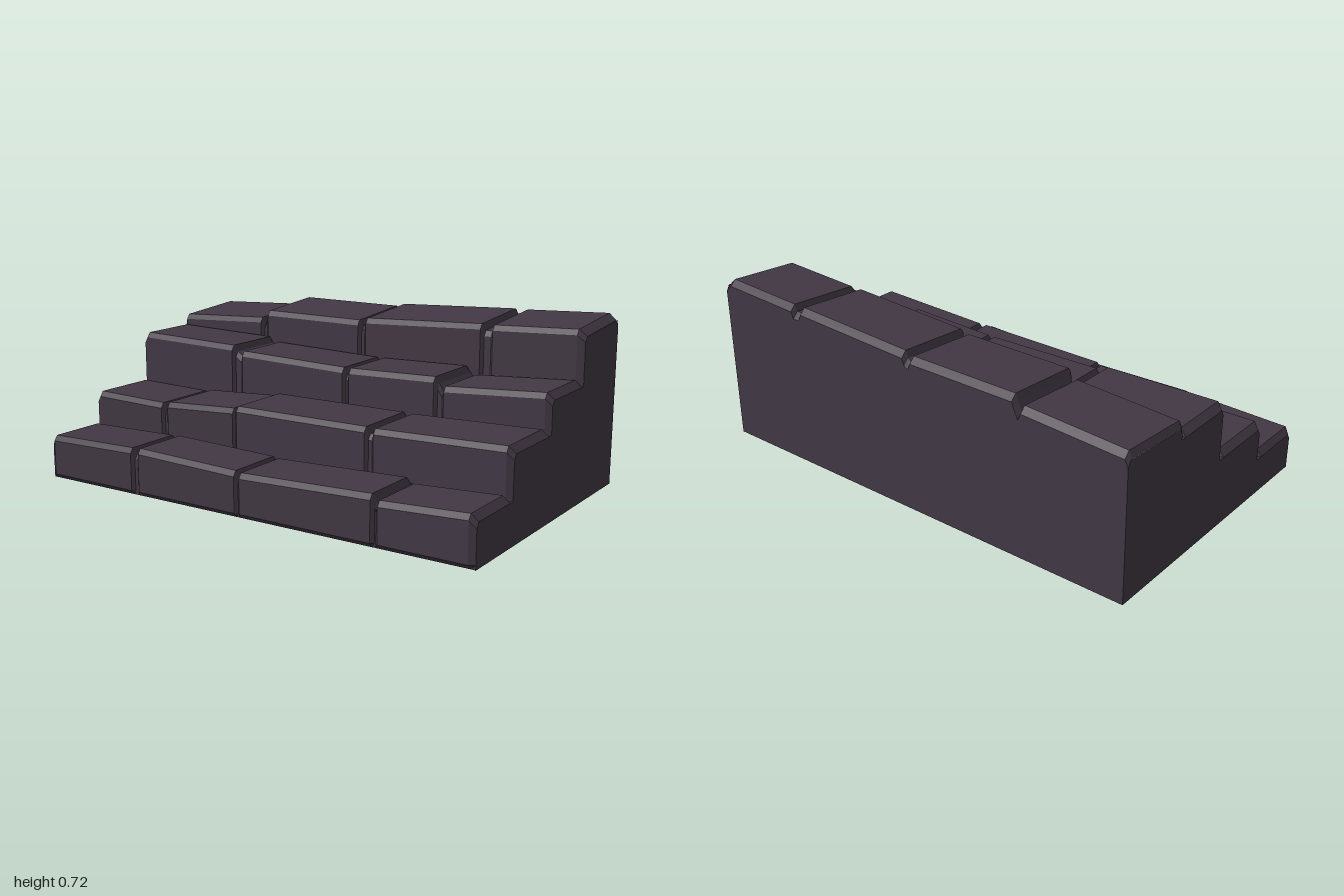
import * as THREE from 'three';

// Each step: front and back z, hidden foot height, tread rise to the back,
// and blocks as [x start, x end, height at start, height at end].
const STEPS = [
  { front: 0.617, back: 0.35, foot: 0, rise: 0, blocks: [
    [-0.98, -0.55, 0.185, 0.195], [-0.51, -0.025, 0.198, 0.185],
    [0, 0.585, 0.18, 0.2], [0.615, 0.975, 0.18, 0.198]] },
  { front: 0.34, back: 0.035, foot: 0.14, rise: 0, blocks: [
    [-0.975, -0.625, 0.325, 0.318], [-0.59, -0.245, 0.325, 0.345],
    [-0.225, 0.385, 0.355, 0.357], [0.425, 0.975, 0.355, 0.37]] },
  { front: 0.025, back: -0.26, foot: 0.28, rise: 0, blocks: [
    [-0.975, -0.49, 0.54, 0.53], [-0.435, 0.08, 0.51, 0.497],
    [0.112, 0.505, 0.497, 0.508], [0.55, 0.975, 0.475, 0.503]] },
  { front: -0.265, back: -0.603, foot: 0.43, rise: 0.022, blocks: [
    [-0.985, -0.55, 0.607, 0.63], [-0.51, -0.03, 0.665, 0.665],
    [0.01, 0.555, 0.677, 0.703], [0.61, 0.97, 0.703, 0.72]] },
];
const GROOVE = 0.028;

const material = new THREE.MeshStandardMaterial({
  color: 0x423844, flatShading: true, side: THREE.DoubleSide });

// Cross-section of a step from its foot, over the tread, to its back
function section(step, x, h, sunk, last) {
  const top = h - (sunk ? GROOVE : 0);
  const z = step.front - (sunk ? 0.012 : 0);
  const pts = [
    [step.foot, step.front - 0.015],
    [step.foot + 0.018, z],
    [top - step.rise - 0.022, z],
    [top - step.rise, z - 0.015],
    [top, step.back + 0.01],
  ];
  if (last) pts.push([top - 0.025, -0.617], [0, -0.61]);
  else pts.push([h - GROOVE, step.back], [h - GROOVE, step.back - 0.025]);
  return pts.map(([y, pz]) => new THREE.Vector3(x, y, pz));
}

// Skin a list of equal-length cross-sections
function loft(sections) {
  const pos = [];
  for (let i = 0; i < sections.length - 1; i++) {
    for (let j = 0; j < sections[i].length - 1; j++) {
      const a = sections[i][j], b = sections[i + 1][j];
      const c = sections[i + 1][j + 1], d = sections[i][j + 1];
      for (const p of [a, b, c, a, c, d]) pos.push(p.x, p.y, p.z);
    }
  }
  const geo = new THREE.BufferGeometry();
  geo.setAttribute('position', new THREE.Float32BufferAttribute(pos, 3));
  geo.computeVertexNormals();
  return geo;
}

// Flat stepped wall closing one end, matching the sunken end sections
function endWall(side) {
  const pts = [new THREE.Vector2(-0.602, 0)];
  let y = 0;
  for (const s of STEPS) {
    const block = s.blocks[side < 0 ? 0 : 3];
    const h = block[side < 0 ? 2 : 3] - GROOVE;
    const z = s.front - 0.012;
    for (const [pz, py] of [[z, y], [z, h - s.rise - 0.022], [z - 0.015, h - s.rise], [s.back, h]])
      pts.push(new THREE.Vector2(-pz, py));
    y = h;
  }
  pts.push(new THREE.Vector2(0.617, y - 0.025), new THREE.Vector2(0.61, 0));
  pts[0].x = -0.602;
  const geo = new THREE.ShapeGeometry(new THREE.Shape(pts));
  geo.rotateY(Math.PI / 2);
  if (side < 0) { // face outward on the other end
    const idx = geo.index.array;
    for (let i = 0; i < idx.length; i += 3) [idx[i], idx[i + 1]] = [idx[i + 1], idx[i]];
    geo.computeVertexNormals();
  }
  geo.translate(side, 0, 0);
  return geo;
}

export function createModel() {
  const group = new THREE.Group();
  group.name = 'stoneStairs';
  const add = (geo, name) => {
    const mesh = new THREE.Mesh(geo, material);
    mesh.name = name;
    group.add(mesh);
  };

  // Rows of chamfered blocks with grooves between them
  STEPS.forEach((step, n) => {
    const last = n === STEPS.length - 1;
    const sections = [];
    step.blocks.forEach(([x0, x1, h0, h1], k) => {
      const start = k === 0 ? -1 : x0 - 0.012;
      const end = k === step.blocks.length - 1 ? 1 : x1 + 0.012;
      sections.push(
        section(step, start, h0, true, last), section(step, x0, h0, false, last),
        section(step, x1, h1, false, last), section(step, end, h1, true, last));
    });
    add(loft(sections), `step${n + 1}`);
  });

  add(endWall(1), 'leftWall');
  add(endWall(-1), 'rightWall');
  return group;
}
